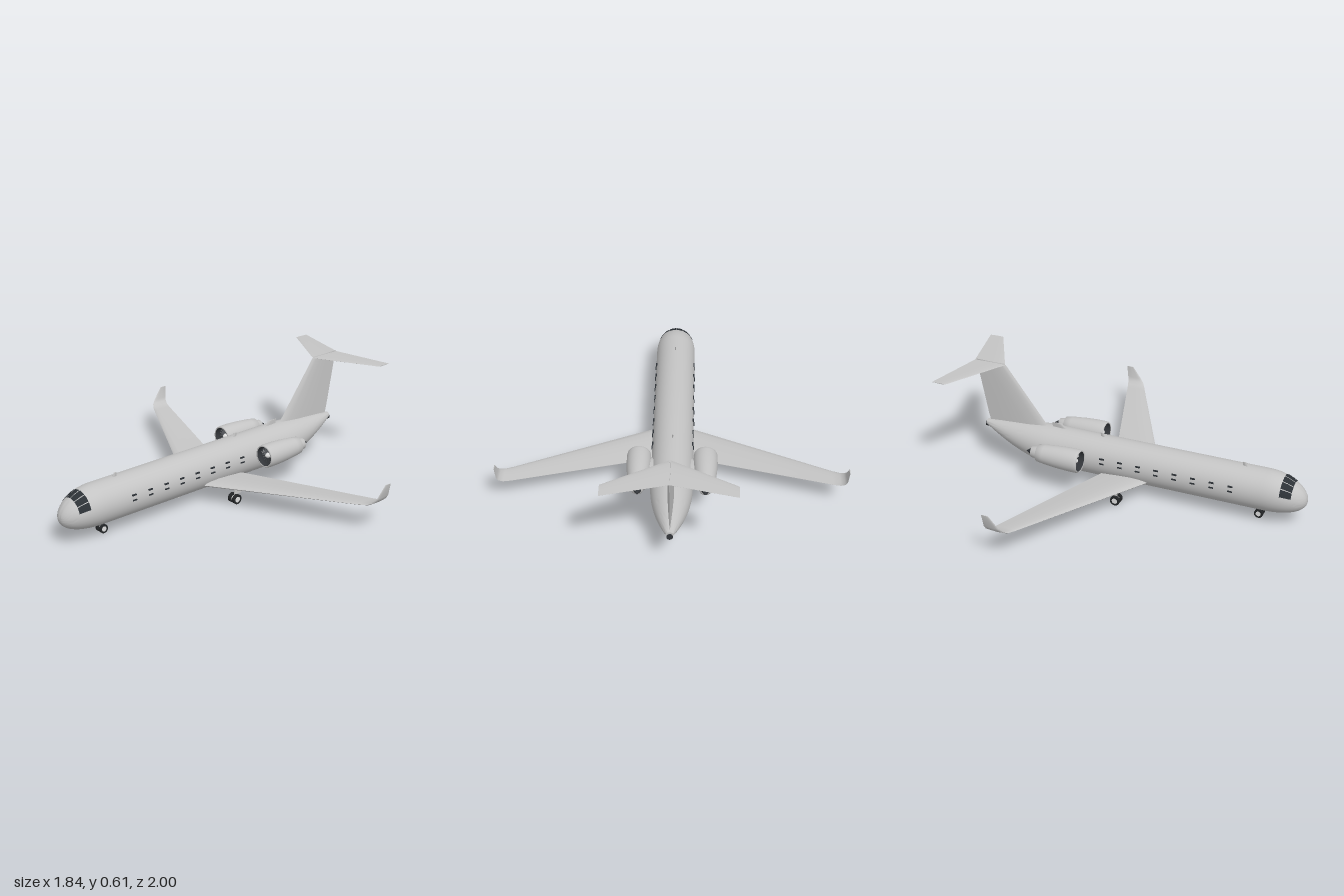
import * as THREE from 'three';
import { toCreasedNormals } from 'three/addons/utils/BufferGeometryUtils.js';

const mat = (name, color, side = THREE.FrontSide) => {
  const m = new THREE.MeshStandardMaterial({ color, side });
  m.name = name;
  return m;
};
const V = (x, y, z) => new THREE.Vector3(x, y, z);

// Skin over a list of closed rings, capped at both ends and turned outward
function loft(rings, crease = 0.7) {
  const n = rings[0].length, pts = rings.flat(), idx = [];
  for (let r = 0; r < rings.length - 1; r++) {
    for (let i = 0; i < n; i++) {
      const a = r * n + i, b = r * n + (i + 1) % n;
      idx.push(a, b, a + n, b, b + n, a + n);
    }
  }
  [0, rings.length - 1].forEach((r, end) => {
    const c = pts.length;
    pts.push(rings[r].reduce((s, p) => s.add(p), V(0, 0, 0)).divideScalar(n));
    for (let i = 0; i < n; i++) {
      const a = r * n + i, b = r * n + (i + 1) % n;
      if (end) idx.push(c, a, b); else idx.push(c, b, a);
    }
  });
  let volume = 0;
  for (let i = 0; i < idx.length; i += 3) {
    volume += pts[idx[i]].dot(V(0, 0, 0).crossVectors(pts[idx[i + 1]], pts[idx[i + 2]]));
  }
  if (volume < 0) idx.reverse();
  const g = new THREE.BufferGeometry().setFromPoints(pts);
  g.setIndex(idx);
  return toCreasedNormals(g, crease);
}

// Aerofoil ring: leading edge point, chord towards -z, thickness along (nx, ny)
const FOIL = [[0, 0], [0.04, 0.25], [0.15, 0.43], [0.35, 0.5], [0.65, 0.32], [1, 0.03]];
function foil([x, y, z, chord, thick, nx = 0, ny = 1]) {
  const at = (u, h) => V(x + nx * h * thick, y + ny * h * thick, z - u * chord);
  const upper = FOIL.map(([u, h]) => at(u, h));
  const lower = FOIL.slice(1).reverse().map(([u, h]) => at(u, -h));
  return [...upper, ...lower];
}

// Fuselage section at z: half width, half height and centre height
function section(z) {
  if (z > 0.78) {
    const t = (z - 0.78) / 0.22, s = Math.sqrt(Math.max(0, 1 - t * t));
    return { w: 0.11 * s, h: 0.1125 * s, cy: 0.1725 - 0.022 * t * t };
  }
  const t = Math.max(0, (-0.45 - z) / 0.41);
  const top = 0.285 - 0.037 * t ** 1.5, bottom = 0.06 + 0.16 * t ** 1.6;
  return { w: 0.11 - 0.09 * t ** 1.7, h: (top - bottom) / 2, cy: (top + bottom) / 2 };
}
function skin(z, angle, out = 0) {
  const { w, h, cy } = section(z);
  return V(Math.sin(angle) * (w + out), cy + Math.cos(angle) * (h + out), z);
}

export function createModel() {
  const model = new THREE.Group();
  model.name = 'airliner';
  const body = mat('light grey paint', 0xc4c4c4);
  const glass = mat('dark glass', 0x2c3136, THREE.DoubleSide);
  const dark = mat('dark metal', 0x33363a, THREE.DoubleSide);
  const blade = mat('fan blade grey', 0x55585c, THREE.DoubleSide);
  const tyre = mat('tyre black', 0x242628);
  const hub = mat('hub white', 0xdcdcdc);
  const add = (name, geo, m, x = 0, y = 0, z = 0, parent = model) => {
    const mesh = new THREE.Mesh(geo, m);
    mesh.name = name;
    mesh.position.set(x, y, z);
    parent.add(mesh);
    return mesh;
  };

  // Fuselage
  const stations = [];
  for (let i = 0; i <= 18; i++) stations.push(0.78 + 0.2199 * Math.cos(i / 18 * Math.PI / 2));
  stations.push(0.2);
  for (let i = 0; i <= 16; i++) stations.push(-0.45 - 0.41 * i / 16);
  const hull = stations.map(z => Array.from({ length: 48 }, (_, i) => skin(z, i / 48 * Math.PI * 2)));
  add('fuselage', loft(hull), body);
  add('tailExhaust', new THREE.CylinderGeometry(0.016, 0.016, 0.03, 16).rotateX(Math.PI / 2), dark, 0, 0.222, -0.852);

  // Cockpit panes following the nose
  for (let k = -3; k < 3; k++) {
    const pts = [], idx = [], nu = 6, nv = 5;
    for (let v = 0; v <= nv; v++) {
      for (let u = 0; u <= nu; u++) {
        pts.push(skin(0.872 + 0.058 * v / nv, (k + 0.05 + 0.9 * u / nu) * 0.43, 0.002));
        if (u < nu && v < nv) {
          const a = v * (nu + 1) + u, b = a + nu + 1;
          idx.push(a, b, a + 1, b, b + 1, a + 1);
        }
      }
    }
    const g = new THREE.BufferGeometry().setFromPoints(pts);
    g.setIndex(idx);
    g.computeVertexNormals();
    add('cockpitWindow', g, glass);
  }

  // Fin, tailplane and its fairing
  add('fin', loft([
    [0, 0.23, -0.45, 0.385, 0.036, 1, 0], [0, 0.285, -0.49, 0.36, 0.034, 1, 0],
    [0, 0.602, -0.73, 0.18, 0.018, 1, 0],
  ].map(foil)), body);
  add('tailplane', loft([
    [-0.33, 0.599, -0.92, 0.08, 0.004], [0, 0.602, -0.735, 0.185, 0.011], [0.33, 0.599, -0.92, 0.08, 0.004],
  ].map(foil)), body);
  add('tailFairing', loft([[0, 0.598, -0.73, 0.185, 0.012, 1, 0], [0, 0.61, -0.74, 0.17, 0.008, 1, 0]].map(foil)), body);

  // Aerials: z of leading edge, base height, tip height, chord
  for (const [z, y0, y1, c] of [[0.67, 0.28, 0.306, 0.025], [-0.14, 0.28, 0.306, 0.025],
    [-0.365, 0.28, 0.31, 0.09], [0.26, 0.066, 0.038, 0.03]]) {
    const sweep = c > 0.05 ? 0.035 : 0.01;
    add('aerial', loft([[0, y0, z, c, 0.008, 1, 0], [0, y1, z - sweep, c - sweep + 0.004, 0.006, 1, 0]].map(foil)), body);
  }

  for (const s of [1, -1]) {
    const side = new THREE.Group();
    side.name = s > 0 ? 'leftSide' : 'rightSide';
    model.add(side);

    // Wing with blended winglet
    add('wing', loft([
      [0.04, 0.108, 0.167, 0.275, 0.034], [0.11, 0.112, 0.13, 0.26, 0.032],
      [0.84, 0.15, -0.258, 0.112, 0.011], [0.88, 0.155, -0.279, 0.104, 0.009, -0.3, 0.95],
      [0.902, 0.168, -0.295, 0.096, 0.008, -0.75, 0.66], [0.912, 0.188, -0.314, 0.082, 0.007, -0.98, 0.2],
      [0.918, 0.253, -0.365, 0.04, 0.004, -1, 0],
    ].map(([x, y, z, c, t, nx = 0, ny = 1]) => foil([x * s, y, z, c, t, nx * s, ny]))), body, 0, 0, 0, side);

    // Cabin windows: an upper and a lower dash at each
    for (let i = 0; i < 8; i++) {
      for (const [y, x] of [[0.206, 0.107], [0.179, 0.1095]]) {
        add('cabinWindow', new THREE.BoxGeometry(0.008, 0.007, 0.026), glass, s * x, y, 0.612 - 0.104 * i, side);
      }
    }

    // Engine
    const engine = new THREE.Group();
    engine.name = 'engine';
    engine.position.set(s * 0.175, 0.207, 0);
    side.add(engine);
    const lathe = (name, pts, m) => add(name,
      new THREE.LatheGeometry(pts.map(p => new THREE.Vector2(...p)), 36).rotateX(Math.PI / 2), m, 0, 0, 0, engine);
    lathe('nacelle', [[0.03, -0.458], [0.047, -0.46], [0.053, -0.42], [0.06, -0.35], [0.064, -0.28],
      [0.064, -0.23], [0.062, -0.215], [0.058, -0.21], [0.054, -0.213]], body);
    lathe('intakeDuct', [[0.054, -0.213], [0.051, -0.225], [0.051, -0.25], [0, -0.25]], dark);
    lathe('exhaustNozzle', [[0.02, -0.497], [0.03, -0.497], [0.037, -0.455]], body);
    lathe('exhaustCone', [[0, -0.532], [0.012, -0.514], [0.024, -0.492]], dark);
    lathe('spinner', [[0.016, -0.25], [0.013, -0.235], [0.007, -0.226], [0, -0.223]], hub);
    for (let i = 0; i < 18; i++) {
      const g = new THREE.PlaneGeometry(0.007, 0.034).rotateY(0.5).translate(0, 0.032, -0.243).rotateZ(i / 18 * Math.PI * 2);
      add('fanBlade', g, blade, 0, 0, 0, engine);
    }
    add('pylon', loft([[s * 0.07, 0.21, -0.24, 0.24, 0.03], [s * 0.14, 0.21, -0.24, 0.235, 0.03]].map(foil)), body, 0, 0, 0, side);

    // Landing gear: two wheels on this main leg, one on the shared nose leg
    for (const [name, x, z, r, w] of [['mainWheel', 0.163, 0, 0.027, 0.016],
      ['mainWheel', 0.196, 0, 0.027, 0.016], ['noseWheel', 0.014, 0.745, 0.024, 0.014]]) {
      add(name, new THREE.CylinderGeometry(r, r, w, 24).rotateZ(Math.PI / 2), tyre, s * x, r, z, side);
      add(name + 'Hub', new THREE.CylinderGeometry(r * 0.58, r * 0.58, w + 0.002, 20).rotateZ(Math.PI / 2), hub, s * x, r, z, side);
    }
    add('mainAxle', new THREE.CylinderGeometry(0.005, 0.005, 0.04, 10).rotateZ(Math.PI / 2), dark, s * 0.18, 0.027, 0, side);
    add('mainLeg', new THREE.CylinderGeometry(0.005, 0.005, 0.09, 10), body, s * 0.18, 0.07, 0, side);
    add('gearDoor', new THREE.BoxGeometry(0.003, 0.045, 0.042), body, s * 0.21, 0.09, 0, side);
  }
  add('noseAxle', new THREE.CylinderGeometry(0.004, 0.004, 0.03, 10).rotateZ(Math.PI / 2), dark, 0, 0.024, 0.745);
  add('noseLeg', new THREE.CylinderGeometry(0.005, 0.005, 0.06, 10), body, 0, 0.052, 0.745);
  return model;
}
